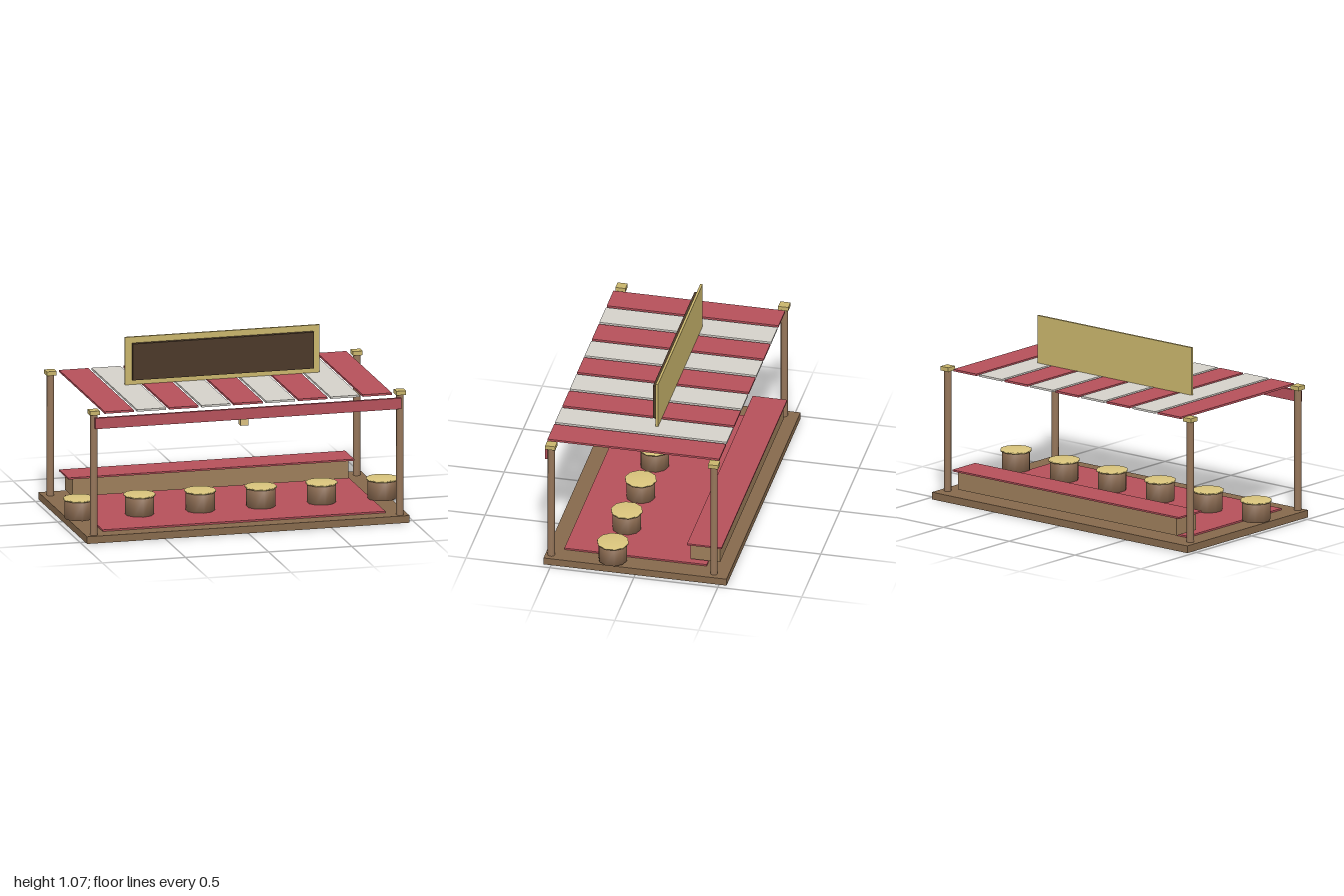
import * as THREE from 'three';
import { mergeVertices } from 'three/addons/utils/BufferGeometryUtils.js';

const mat = (color) => new THREE.MeshStandardMaterial({ color });
const WOOD = mat(0x86694c), POST = mat(0x96765a), BENCH = mat(0x9c7d5a), STOOL = mat(0x8a6a50);
const RED = mat(0xb5505a), CREAM = mat(0xd4d1ca), GOLD = mat(0xc9b56c), DARK = mat(0x4a3828);
const LAMP = mat(0xd9bf80), CUSHION = mat(0xd9c47c);

export function createModel() {
  const model = new THREE.Group();
  model.name = 'marketStall';

  // Box given by its min and max on each axis
  const box = (name, material, [x0, x1], [y0, y1], [z0, z1], parent = model) => {
    const mesh = new THREE.Mesh(new THREE.BoxGeometry(x1 - x0, y1 - y0, z1 - z0), material);
    mesh.position.set((x0 + x1) / 2, (y0 + y1) / 2, (z0 + z1) / 2);
    mesh.name = name;
    parent.add(mesh);
    return mesh;
  };

  // Upright drum with normals shared between side and caps, for soft rims
  const drum = (name, material, r, sides, x, [y0, y1], z, parent = model) => {
    let geo = new THREE.CylinderGeometry(r, r, y1 - y0, sides);
    geo.deleteAttribute('normal');
    geo.deleteAttribute('uv');
    geo = mergeVertices(geo, 1e-4);
    geo.computeVertexNormals();
    const mesh = new THREE.Mesh(geo, material);
    mesh.position.set(x, (y0 + y1) / 2, z);
    mesh.name = name;
    parent.add(mesh);
    return mesh;
  };

  // Floor
  box('platform', WOOD, [-0.97, 0.97], [0, 0.043], [-0.545, 0.545]);
  box('carpet', RED, [-0.85, 0.85], [0.043, 0.053], [-0.4, 0.448]);

  // Corner posts with square caps
  for (const x of [-0.921, 0.921]) {
    for (const z of [-0.46, 0.51]) {
      const post = new THREE.Group();
      post.name = 'cornerPost';
      drum('postShaft', POST, 0.0215, 10, x, [0.043, 0.767], z, post);
      box('postCap', GOLD, [x - 0.029, x + 0.029], [0.766, 0.791], [z - 0.03, z + 0.03], post);
      model.add(post);
    }
  }

  // Striped canopy and front valance
  const canopy = new THREE.Group();
  canopy.name = 'canopy';
  for (let i = 0; i < 9; i++) {
    const x = (i - 4) * 0.194;
    const red = i % 2 === 0;
    const w = red ? 0.0875 : 0.0865;
    box('canopyStripe', red ? RED : CREAM, [x - w, x + w], [0.773, 0.785], [-0.478, 0.545], canopy);
  }
  model.add(canopy);
  box('valance', RED, [-0.921, 0.921], [0.685, 0.75], [0.527, 0.547]);

  // Sign board on the canopy
  box('signFrame', GOLD, [-0.585, 0.585], [0.785, 1.07], [-0.05, -0.036]);
  box('signPanel', DARK, [-0.545, 0.545], [0.816, 1.034], [-0.036, -0.01]);

  // Hanging lantern
  box('lantern', LAMP, [-0.023, 0.023], [0.625, 0.69], [0.414, 0.46]);

  // Long counter at the back
  box('counterBody', BENCH, [-0.83, 0.83], [0.068, 0.175], [-0.475, -0.3]);
  box('counterTop', RED, [-0.86, 0.86], [0.175, 0.185], [-0.491, -0.285]);

  // Row of cushioned stools
  for (let i = 0; i < 6; i++) {
    const x = (i - 2.5) * 0.3646;
    const stool = new THREE.Group();
    stool.name = 'stool';
    drum('stoolBody', STOOL, 0.085, 10, x, [0.055, 0.168], 0.145, stool);
    drum('stoolCushion', CUSHION, 0.0935, 10, x, [0.166, 0.176], 0.145, stool);
    model.add(stool);
  }

  return model;
}
